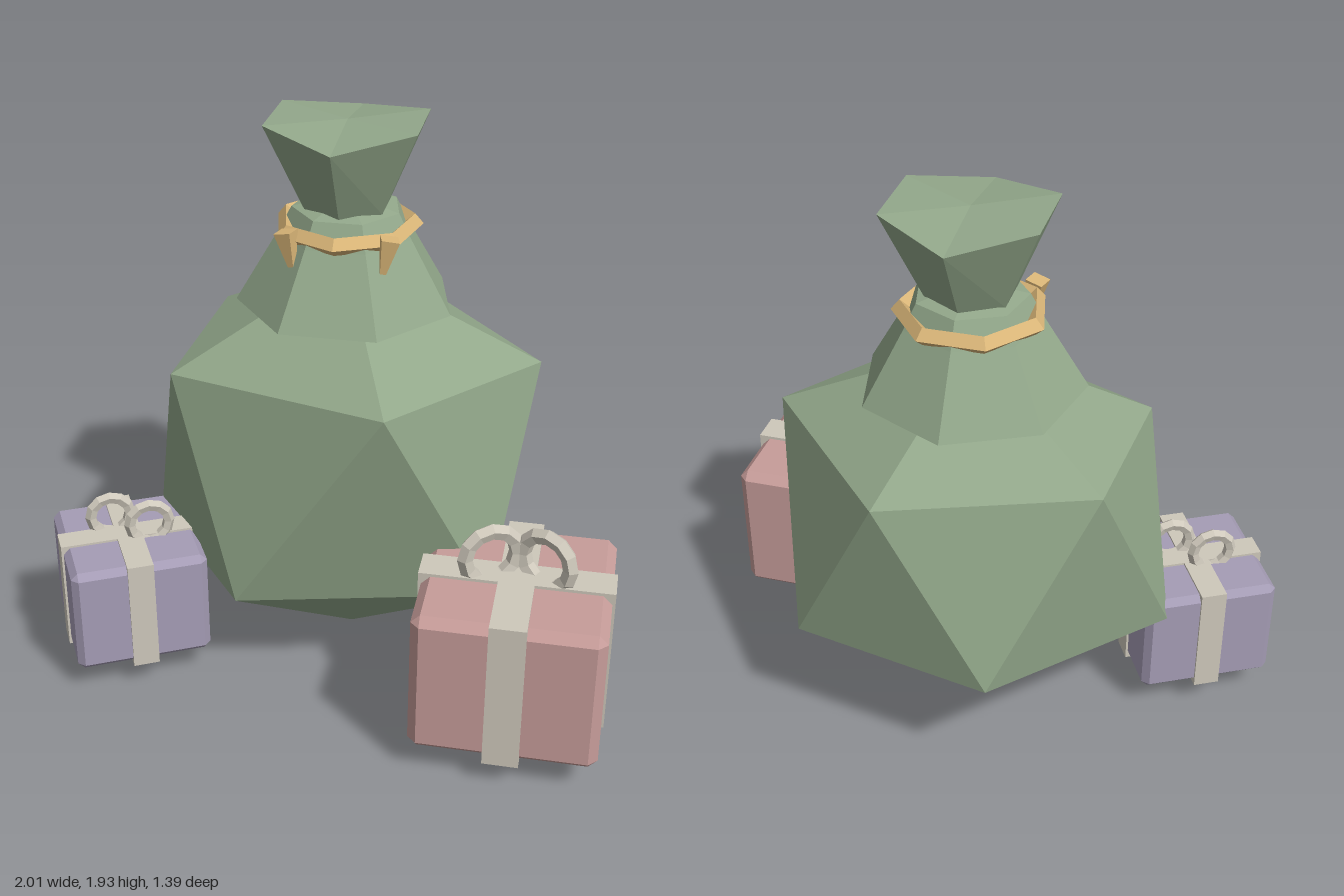
import * as THREE from 'three';
import { ConvexGeometry } from 'three/addons/geometries/ConvexGeometry.js';

const flat = (name, color) => {
  const m = new THREE.MeshStandardMaterial({ color });
  m.name = name;
  m.flatShading = true;
  return m;
};

const mesh = (name, geometry, material, x = 0, y = 0, z = 0) => {
  const m = new THREE.Mesh(geometry, material);
  m.name = name;
  m.position.set(x, y, z);
  return m;
};

const hull = (points) => new ConvexGeometry(points.map((p) => new THREE.Vector3(...p)));

// Box with all edges cut off at 45 degrees
function chamferBox(w, h, d, c) {
  const points = [];
  for (const sx of [-1, 1]) for (const sy of [-1, 1]) for (const sz of [-1, 1]) {
    for (let axis = 0; axis < 3; axis++) {
      const cut = (i) => (i === axis ? 0 : c);
      points.push([sx * (w / 2 - cut(0)), sy * (h / 2 - cut(1)), sz * (d / 2 - cut(2))]);
    }
  }
  return hull(points);
}

const lathe = (profile, sides, phase = 0) =>
  new THREE.LatheGeometry(profile.map(([r, y]) => new THREE.Vector2(r, y)), sides, phase);

// Wrapped box with crossed ribbons and two bow loops, resting on its base.
// Each loop is [x, z, turn].
function gift(name, paper, ribbon, loops) {
  const g = new THREE.Group();
  g.name = name;
  g.add(mesh('wrappedBox', chamferBox(0.615, 0.51, 0.615, 0.03), paper, 0, 0.265, 0));
  g.add(mesh('ribbonAcross', new THREE.BoxGeometry(0.635, 0.53, 0.118), ribbon, 0, 0.265, 0));
  g.add(mesh('ribbonAlong', new THREE.BoxGeometry(0.118, 0.53, 0.635), ribbon, 0, 0.265, 0));
  for (const [x, z, turn] of loops) {
    const loop = mesh('bowLoop', new THREE.TorusGeometry(0.09, 0.027, 5, 12), ribbon, x, 0.59, z);
    loop.rotation.y = turn;
    g.add(loop);
  }
  return g;
}

export function createModel() {
  const green = flat('sackGreen', 0x92a78a);
  const gold = flat('ropeGold', 0xdab678);
  const red = flat('paperRose', 0xc69c99);
  const purple = flat('paperPurple', 0xa59cb5);
  const cream = flat('ribbonCream', 0xcec8bb);

  const model = new THREE.Group();
  model.name = 'giftSack';
  const cx = 0.01, cz = -0.16;

  // Sack body: slightly irregular twenty-sided solid
  model.add(mesh('sackBody', hull([
    [0.04, 0, -0.13],
    [-0.27, 0.38, 0.37], [0.57, 0.39, 0.18], [0.51, 0.485, -0.56], [-0.18, 0.48, -0.69], [-0.67, 0.42, -0.1],
    [0.24, 1.15, 0.42], [0.68, 1.13, -0.15], [0.18, 1.14, -0.7], [-0.49, 1.14, -0.45], [-0.53, 1.11, 0.15],
    [0.01, 1.44, -0.15],
  ]), green));

  // Gathered collar
  model.add(mesh('sackCollar', lathe(
    [[0, 1.31], [0.375, 1.305], [0.23, 1.55], [0.185, 1.635], [0.12, 1.65]], 7, Math.PI,
  ), green, cx, 0, cz));

  // Flared mouth, its front and back corners dipping slightly
  const mouth = lathe([[0.14, 1.6], [0.15, 1.64], [0.288, 1.935], [0, 1.93]], 6);
  const p = mouth.attributes.position;
  for (let i = 0; i < p.count; i++) {
    if (p.getY(i) > 1.9 && Math.abs(p.getZ(i)) > 0.2) p.setY(i, 1.895);
  }
  model.add(mesh('sackMouth', mouth, green, cx, 0, cz));

  // Rope band and its two hanging ends
  model.add(mesh('ropeBand', lathe(
    [[0.19, 1.575], [0.225, 1.545], [0.254, 1.57], [0.225, 1.605], [0.19, 1.575]], 7,
  ), gold, cx, 0, cz));
  for (const [x, turn] of [[-0.145, 0.5], [0.175, -0.5]]) {
    const end = mesh('ropeEnd', new THREE.CylinderGeometry(0.042, 0.014, 0.12, 4), gold, x, 1.545, 0.035);
    end.rotation.set(-0.15, turn, turn * 0.4);
    model.add(end);
  }

  // Large gift at the front left
  const large = gift('largeGift', red, cream, [[-0.09, 0, 0.48], [0.09, 0, -0.48]]);
  large.position.set(0.68, 0.09, 0.375);
  model.add(large);

  // Small gift at the right, turned, with side-by-side loops
  const small = gift('smallGift', purple, cream, [[-0.067, -0.065, 0], [0.093, 0.05, 0]]);
  small.scale.setScalar(0.765);
  small.position.set(-0.705, 0.09, 0.187);
  small.rotation.y = 0.49;
  model.add(small);

  return model;
}
